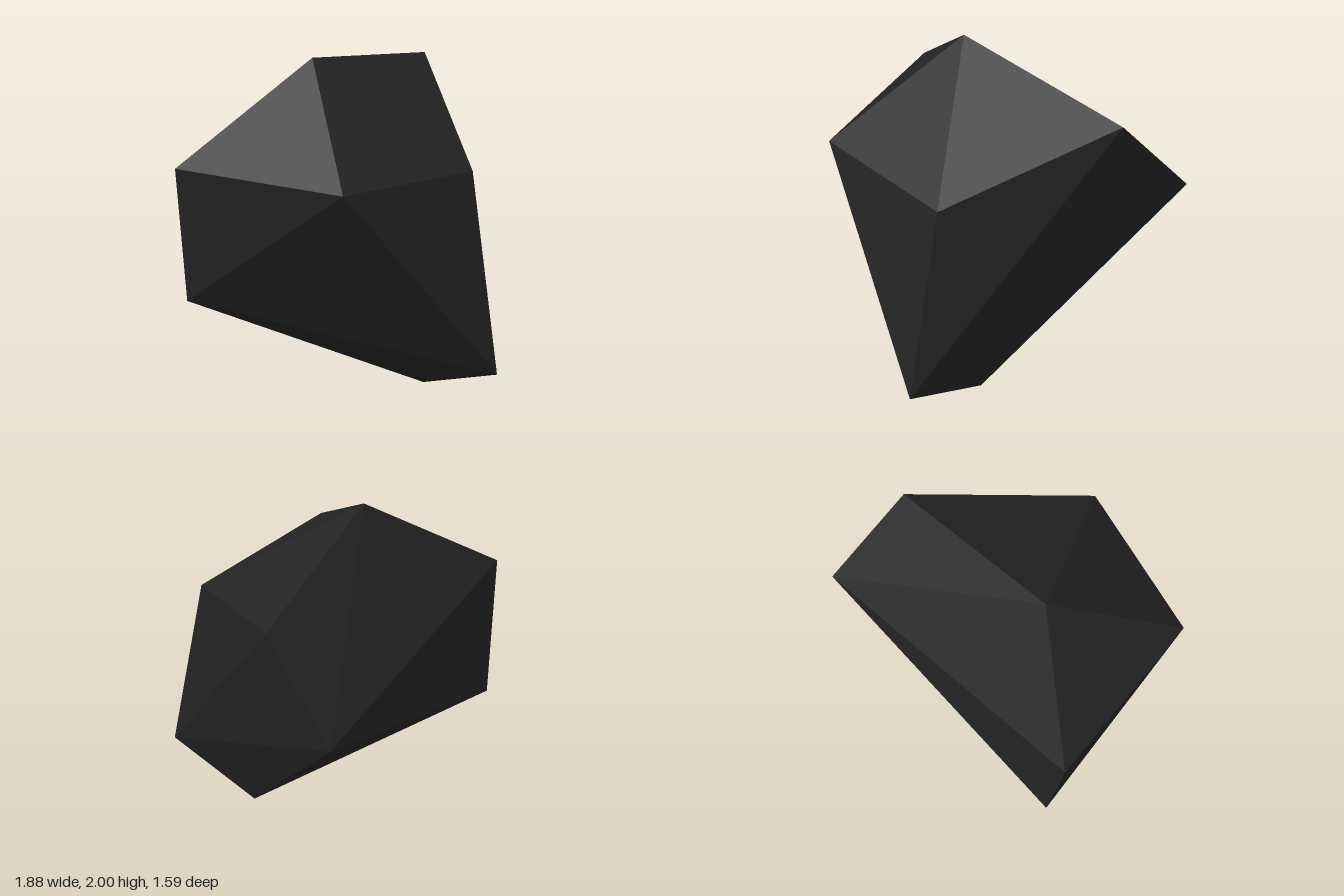
import * as THREE from 'three';
import { ConvexGeometry } from 'three/addons/geometries/ConvexGeometry.js';

export function createModel() {
  const group = new THREE.Group();
  group.name = 'rock';

  const darkStone = new THREE.MeshStandardMaterial({ color: 0x242424, flatShading: true });
  darkStone.name = 'dark stone';

  // Corners of the faceted boulder, from the peak down to the foot
  const corners = [
    [-0.285, 2.0, -0.265], // peak
    [0.845, 1.76, -0.29], // left shoulder
    [-0.94, 1.39, -0.775], // right back shoulder
    [-0.81, 1.39, 0.35], // right front shoulder
    [0.14, 1.36, 0.585], // front brow
    [0.94, 1.16, -0.79], // left back corner
    [-0.8, 0.55, -0.79], // right back base
    [0.095, 0.17, 0.795], // front toe
    [0.175, 0.0, 0.2], // foot
  ].map((p) => new THREE.Vector3(...p));

  const boulder = new THREE.Mesh(new ConvexGeometry(corners), darkStone);
  boulder.name = 'boulder';
  group.add(boulder);
  return group;
}
